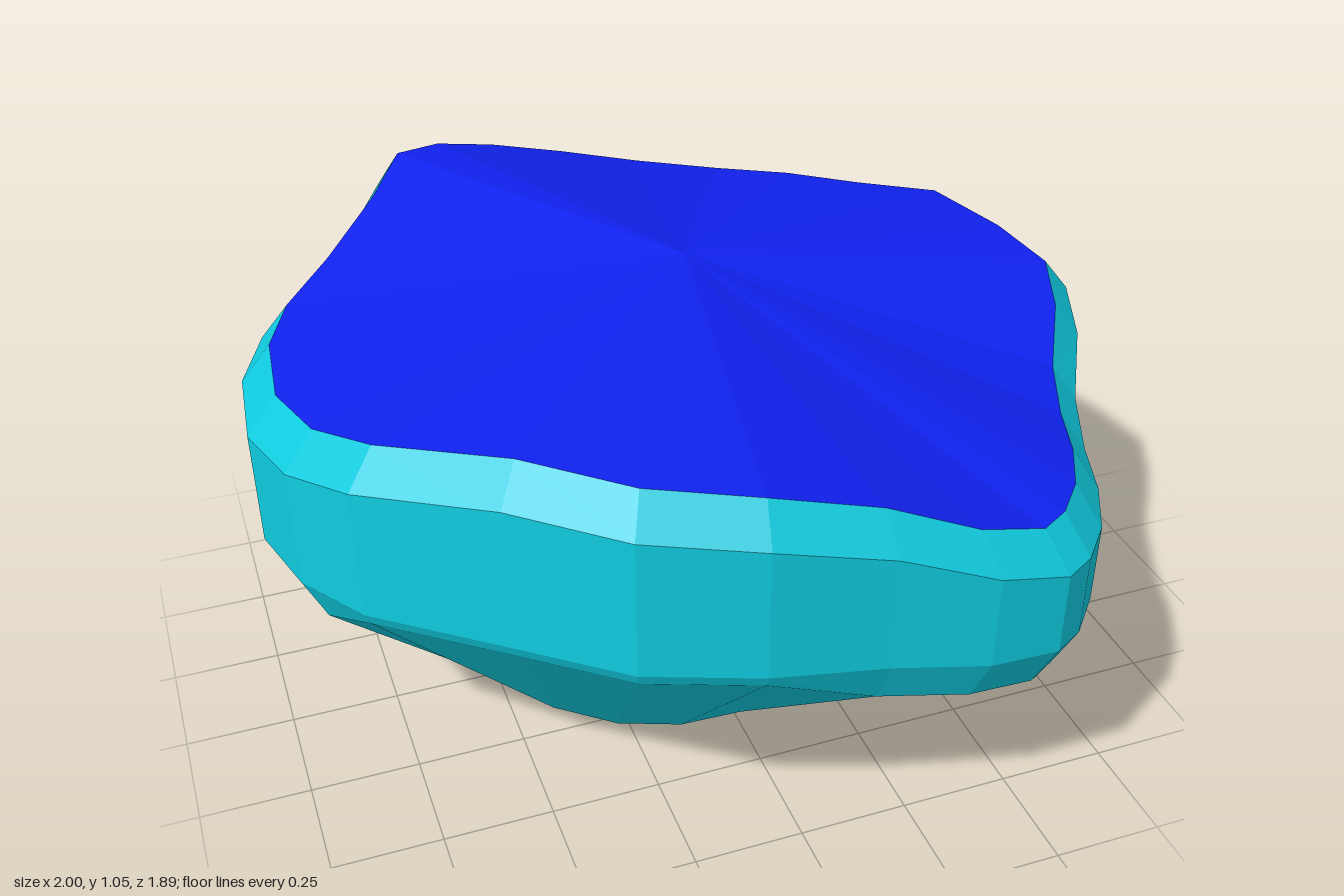
import * as THREE from 'three';

// Outline around the body: x, z, and height of the top rim
const OUTLINE = [
  [-0.04, -0.95, 0.95], [0.18, -0.93, 0.9], [0.4, -0.86, 0.875], [0.58, -0.76, 0.875],
  [0.72, -0.58, 0.9], [0.86, -0.39, 0.935], [0.95, -0.19, 0.91], [1.0, -0.02, 0.88],
  [0.95, 0.13, 0.84], [0.84, 0.32, 0.79], [0.76, 0.5, 0.78], [0.69, 0.67, 0.8],
  [0.62, 0.8, 0.805], [0.54, 0.89, 0.81], [0.47, 0.93, 0.81], [0.31, 0.94, 0.85],
  [0.1, 0.91, 0.93], [-0.15, 0.88, 0.99], [-0.39, 0.8, 1.015], [-0.6, 0.64, 1.03],
  [-0.85, 0.42, 0.985], [-0.95, 0.25, 0.945], [-1.0, 0.06, 0.93], [-0.98, -0.17, 0.93],
  [-0.91, -0.35, 0.93], [-0.78, -0.5, 0.96], [-0.62, -0.7, 1.01], [-0.52, -0.85, 1.05],
  [-0.4, -0.9, 1.04], [-0.24, -0.94, 1.0],
];

const ring = (fn) => OUTLINE.map(([x, z, h], i) => new THREE.Vector3(...fn(x, z, h, i)));
const wallFoot = (h) => 0.53 + (h - 0.8) * 0.38;

// Triangles joining an upper ring to a lower one
function band(out, a, b) {
  a.forEach((p, i) => {
    const j = (i + 1) % a.length;
    out.push(p, a[j], b[i], a[j], b[j], b[i]);
  });
}

// Triangle fan from a centre point to a ring
function fan(out, centre, r, up) {
  r.forEach((p, i) => {
    const q = r[(i + 1) % r.length];
    out.push(centre, up ? q : p, up ? p : q);
  });
}

function facetMesh(name, points, color) {
  const geometry = new THREE.BufferGeometry().setFromPoints(points);
  geometry.computeVertexNormals();
  const mesh = new THREE.Mesh(geometry, new THREE.MeshStandardMaterial({ color, flatShading: true }));
  mesh.name = name;
  return mesh;
}

export function createModel() {
  const group = new THREE.Group();
  group.name = 'facetedRock';

  const rim = ring((x, z, h) => [x * 0.93, h, z * 0.935]);
  const shoulder = ring((x, z, h) => [x, h - 0.085, z]);
  const foot = ring((x, z, h) => [x, wallFoot(h), z]);
  // The lower bevel nearly closes on the front right side
  const bevel = ring((x, z, h, i) => {
    const closed = i >= 17 && i <= 20;
    const s = closed ? 0.985 : 0.95;
    return [x * s, wallFoot(h) - (closed ? 0.03 : 0.11), z * s];
  });
  // Small oval underside, lifted at its sides and front
  const base = ring((x, z) => {
    const a = Math.atan2(z, x), c = Math.cos(a), s = Math.sin(a);
    return [-0.08 + 0.52 * c, 0.05 + 0.04 * s + (c < 0 ? 0.09 : 0.05) * c * c, -0.05 + 0.48 * s];
  });

  // Flat-faceted top surface
  const top = [];
  fan(top, new THREE.Vector3(0.02, 1.03, -0.08), rim, true);
  group.add(facetMesh('topSurface', top, 0x1022f0));

  // Bevelled sides tapering to the underside
  const sides = [];
  const rings = [rim, shoulder, foot, bevel, base];
  for (let i = 0; i < rings.length - 1; i++) band(sides, rings[i], rings[i + 1]);
  fan(sides, new THREE.Vector3(-0.07, 0, -0.02), base, false);
  group.add(facetMesh('rockBody', sides, 0x10cce0));

  return group;
}
